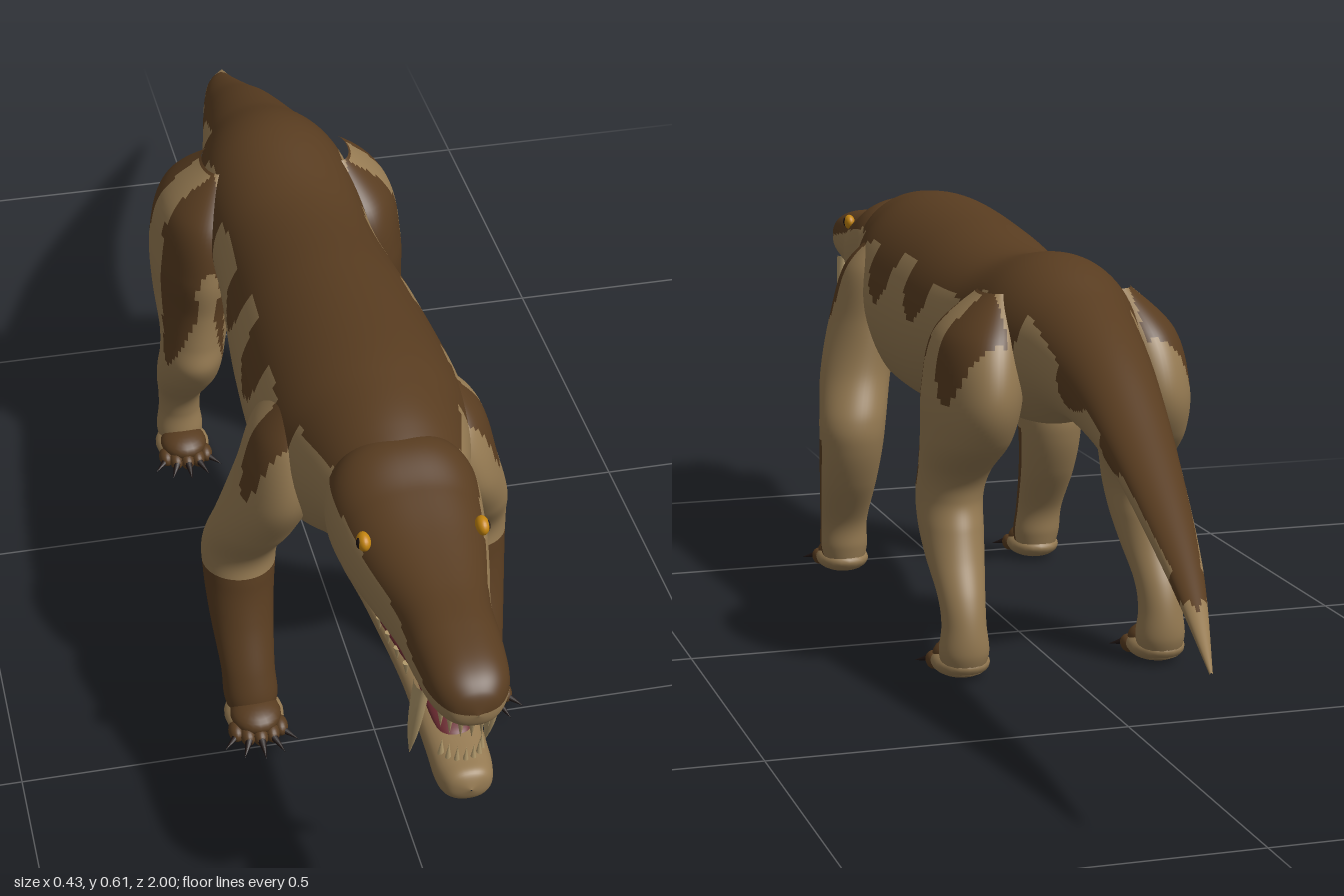
import * as THREE from 'three';

const mat = (name, color) => {
  const m = new THREE.MeshStandardMaterial({ color });
  m.name = name;
  return m;
};

// Uniform Catmull-Rom interpolation of whole cross-section rows
function sample(rows, u) {
  const i = Math.min(Math.floor(u), rows.length - 2), f = u - i;
  const at = k => rows[Math.max(0, Math.min(rows.length - 1, k))];
  const [a, b, c, d] = [at(i - 1), at(i), at(i + 1), at(i + 2)];
  return b.map((_, k) => 0.5 * (2 * b[k] + (c[k] - a[k]) * f
    + (2 * a[k] - 5 * b[k] + 4 * c[k] - d[k]) * f * f
    + (3 * b[k] - a[k] - 3 * c[k] + d[k]) * f * f * f));
}

// Skin through elliptical sections. axis 'z': [z, x, y, rx, ry], z rising.
// axis 'y': [y, x, z, rx, rz], y falling. isDark picks the second material.
function loft(name, rows, { axis = 'z', steps = 60, sides = 32, power = 1, side = 1, materials, isDark }) {
  const pos = [], plain = [], dark = [], bend = v => Math.sign(v) * Math.abs(v) ** power;
  for (let i = 0; i <= steps; i++) {
    const [t, c1, c2, r1, r2] = sample(rows, i / steps * (rows.length - 1));
    for (let j = 0; j < sides; j++) {
      const a = j / sides * Math.PI * 2;
      const p = c1 * side + Math.max(r1, 0.0005) * bend(Math.cos(a));
      const q = c2 + Math.max(r2, 0.0005) * bend(Math.sin(a));
      pos.push(...(axis === 'z' ? [p, q, t] : [p, t, q]));
    }
  }
  for (let i = 0; i < steps; i++) for (let j = 0; j < sides; j++) {
    const k = (j + 1) % sides, a = i * sides + j, b = i * sides + k, c = b + sides, d = a + sides;
    const mid = n => (pos[a * 3 + n] + pos[c * 3 + n]) / 2;
    const isD = isDark && isDark(mid(0) * side, mid(1), mid(2), Math.sin((j + 0.5) / sides * Math.PI * 2));
    (isD ? dark : plain).push(a, b, c, a, c, d);
  }
  const geo = new THREE.BufferGeometry();
  geo.setAttribute('position', new THREE.Float32BufferAttribute(pos, 3));
  geo.setIndex([...plain, ...dark]);
  geo.addGroup(0, plain.length, 0);
  if (dark.length) geo.addGroup(plain.length, dark.length, 1);
  geo.computeVertexNormals();
  const mesh = new THREE.Mesh(geo, materials);
  mesh.name = name;
  return mesh;
}

// Ragged lower edge of the dark back: stripes are [z, lowest y, half width]
const STRIPES = [[0.46, 0.41, 0.033], [0.3, 0.465, 0.055], [0.13, 0.46, 0.05], [-0.09, 0.25, 0.042],
  [-0.235, 0.4, 0.045], [-0.45, 0.43, 0.05], [-0.6, 0.375, 0.04], [-0.86, 0.27, 0.025]];
function backEdge(z) {
  let edge = z > -0.25 ? 0.545 : 0.545 + (z + 0.25) * 0.417;
  if (z < 0.1 && z > -0.06) edge = 0.52;
  for (const [sz, low, w] of STRIPES) {
    const d = Math.abs(z - sz) / w;
    if (d < 1) edge = Math.min(edge, edge + (low - edge) * Math.sqrt(1 - d * d));
  }
  return edge;
}

export function createModel() {
  const model = new THREE.Group();
  model.name = 'sabreToothedReptile';
  const tan = mat('tanHide', 0x957a52), brown = mat('brownHide', 0x583c20);
  const claw = mat('darkClaw', 0x1e1412), mouth = mat('mouthFlesh', 0x6a2a30);
  const ivory = mat('ivory', 0xb29a6c), amber = mat('amberEye', 0xc4850f);
  const hide = [tan, brown];

  const ball = (name, material, [x, y, z], [sx, sy, sz]) => {
    const m = new THREE.Mesh(new THREE.SphereGeometry(1, 20, 14), material);
    m.name = name;
    m.position.set(x, y, z);
    m.scale.set(sx, sy, sz);
    return m;
  };
  const spike = (name, material, r, h, [x, y, z], dir) => {
    const m = new THREE.Mesh(new THREE.ConeGeometry(r, h, 8), material);
    m.name = name;
    m.position.set(x, y, z);
    m.quaternion.setFromUnitVectors(new THREE.Vector3(0, 1, 0), new THREE.Vector3(...dir).normalize());
    return m;
  };

  // Trunk, neck and side-swept tail
  model.add(loft('bodyAndTail', [
    [-1, 0.075, 0.22, 0.002, 0.002], [-0.82, 0.042, 0.297, 0.024, 0.019], [-0.61, 0.018, 0.387, 0.045, 0.036],
    [-0.45, 0.005, 0.443, 0.063, 0.062], [-0.31, 0, 0.473, 0.085, 0.086], [-0.18, 0, 0.477, 0.115, 0.122],
    [0, 0, 0.458, 0.12, 0.12], [0.2, 0, 0.45, 0.138, 0.15], [0.4, 0, 0.457, 0.145, 0.157],
    [0.5, 0, 0.477, 0.124, 0.133], [0.58, 0, 0.495, 0.1, 0.1], [0.66, 0, 0.49, 0.075, 0.07],
    [0.7, 0, 0.485, 0.02, 0.02],
  ], { steps: 230, sides: 100, materials: hide, isDark: (x, y, z) => y > backEdge(z) }));

  // Skull with upper snout
  model.add(loft('head', [
    [0.52, 0, 0.49, 0.05, 0.06], [0.6, 0, 0.497, 0.097, 0.09], [0.68, 0, 0.486, 0.095, 0.08],
    [0.75, 0, 0.482, 0.081, 0.067], [0.83, 0, 0.478, 0.062, 0.058], [0.9, 0, 0.48, 0.057, 0.05],
    [0.96, 0, 0.479, 0.049, 0.04], [0.99, 0, 0.474, 0.03, 0.026], [1, 0, 0.471, 0.001, 0.001],
  ], { steps: 110, sides: 80, power: 0.85, materials: hide, isDark: (x, y, z) => y > 0.472 + (1 - z) * 0.165 }));

  // Lowered jaw and mouth lining
  model.add(loft('lowerJaw', [
    [0.55, 0, 0.4, 0.06, 0.015], [0.6, 0, 0.396, 0.072, 0.021], [0.68, 0, 0.386, 0.06, 0.022],
    [0.8, 0, 0.365, 0.043, 0.022], [0.9, 0, 0.345, 0.038, 0.024], [0.95, 0, 0.335, 0.036, 0.027],
    [0.975, 0, 0.336, 0.026, 0.021], [0.985, 0, 0.337, 0.001, 0.001],
  ], { power: 0.85, materials: [tan] }));
  model.add(loft('palate', [
    [0.56, 0, 0.42, 0.05, 0.02], [0.65, 0, 0.417, 0.07, 0.02], [0.75, 0, 0.422, 0.06, 0.016],
    [0.85, 0, 0.428, 0.045, 0.014], [0.93, 0, 0.442, 0.03, 0.01], [0.95, 0, 0.445, 0.001, 0.001],
  ], { steps: 24, materials: [mouth] }));
  model.add(loft('tongue', [
    [0.6, 0, 0.408, 0.05, 0.012], [0.7, 0, 0.4, 0.04, 0.011], [0.8, 0, 0.384, 0.03, 0.01],
    [0.9, 0, 0.364, 0.022, 0.01], [0.92, 0, 0.36, 0.001, 0.001],
  ], { steps: 24, materials: [mouth] }));

  // Incisors, upper and lower, set round the tips of the jaws
  for (let i = -3; i <= 3; i++) {
    const a = i * 0.38;
    model.add(spike('upperTooth', ivory, 0.006, 0.035, [Math.sin(a) * 0.035, 0.432, 0.93 + Math.cos(a) * 0.045], [0, -1, 0]));
    model.add(spike('lowerTooth', ivory, 0.005, 0.03, [Math.sin(a) * 0.028, 0.368, 0.92 + Math.cos(a) * 0.035], [0, 1, 0.1]));
  }

  for (const s of [1, -1]) {
    const sideName = s > 0 ? 'left' : 'right';

    // Sabre canine, small back teeth and eye
    model.add(loft(sideName + 'Canine', [
      [0.45, 0.044, 0.905, 0.01, 0.016], [0.4, 0.048, 0.898, 0.009, 0.014],
      [0.35, 0.049, 0.885, 0.006, 0.009], [0.305, 0.048, 0.87, 0.0005, 0.0005],
    ], { axis: 'y', steps: 16, sides: 12, side: s, materials: [ivory] }));
    for (let i = 0; i < 4; i++)
      model.add(spike(sideName + 'CheekTooth', ivory, 0.005, 0.02, [s * (0.047 + i * 0.004), 0.416, 0.84 - i * 0.03], [0, -1, 0]));
    model.add(ball(sideName + 'Eye', amber, [s * 0.076, 0.533, 0.727], [0.009, 0.012, 0.014]));
    model.add(ball(sideName + 'Pupil', claw, [s * 0.082, 0.533, 0.729], [0.004, 0.008, 0.006]));

    // Front leg: shoulder, elbow turned back, forearm dark in front
    model.add(loft(sideName + 'FrontLeg', [
      [0.55, 0.1, 0.43, 0.01, 0.02], [0.5, 0.108, 0.43, 0.047, 0.075], [0.42, 0.127, 0.43, 0.052, 0.088],
      [0.34, 0.148, 0.405, 0.055, 0.07], [0.27, 0.163, 0.367, 0.053, 0.055], [0.22, 0.166, 0.368, 0.05, 0.052],
      [0.16, 0.167, 0.388, 0.045, 0.045], [0.09, 0.166, 0.424, 0.038, 0.033], [0.045, 0.164, 0.434, 0.038, 0.034],
      [0.015, 0.163, 0.435, 0.03, 0.028],
    ], {
      axis: 'y', steps: 100, sides: 48, side: s, materials: hide,
      isDark: (x, y, z, front) => (y < 0.238 && front > -0.15) || (x > 0.1 && y > backEdge(z)),
    }));

    // Hind leg: heavy thigh, bent knee, slim ankle
    model.add(loft(sideName + 'HindLeg', [
      [0.55, 0.09, -0.17, 0.02, 0.04], [0.49, 0.113, -0.17, 0.058, 0.105], [0.41, 0.124, -0.175, 0.065, 0.127],
      [0.345, 0.13, -0.165, 0.06, 0.11], [0.29, 0.137, -0.13, 0.05, 0.075], [0.25, 0.142, -0.12, 0.047, 0.068],
      [0.21, 0.145, -0.138, 0.046, 0.062], [0.17, 0.147, -0.165, 0.042, 0.05], [0.12, 0.148, -0.202, 0.034, 0.036],
      [0.08, 0.148, -0.215, 0.032, 0.033], [0.04, 0.148, -0.215, 0.036, 0.034], [0.01, 0.148, -0.213, 0.028, 0.025],
    ], {
      axis: 'y', steps: 120, sides: 60, side: s, materials: hide,
      isDark: (x, y, z) => x > 0.1 && y > backEdge(z),
    }));

    // Feet: pad, dark instep, five toes with claws
    for (const [foot, fx, fz] of [['FrontFoot', 0.163, 0.45], ['HindFoot', 0.148, -0.195]]) {
      const group = new THREE.Group();
      group.name = sideName + foot;
      group.position.set(s * fx, 0, fz);
      group.add(ball('pad', tan, [0, 0.021, 0], [0.042, 0.021, 0.05]));
      group.add(ball('instep', brown, [0, 0.03, 0.012], [0.036, 0.021, 0.04]));
      for (let i = -2; i <= 2; i++) {
        const a = i * 0.42, dx = Math.sin(a), dz = Math.cos(a);
        group.add(ball('toe', brown, [dx * 0.042, 0.017, dz * 0.045], [0.011, 0.013, 0.018]));
        group.add(spike('claw', claw, 0.007, 0.034, [dx * 0.054, 0.015, dz * 0.07], [dx, -0.3, dz]));
      }
      model.add(group);
    }
  }
  return model;
}
